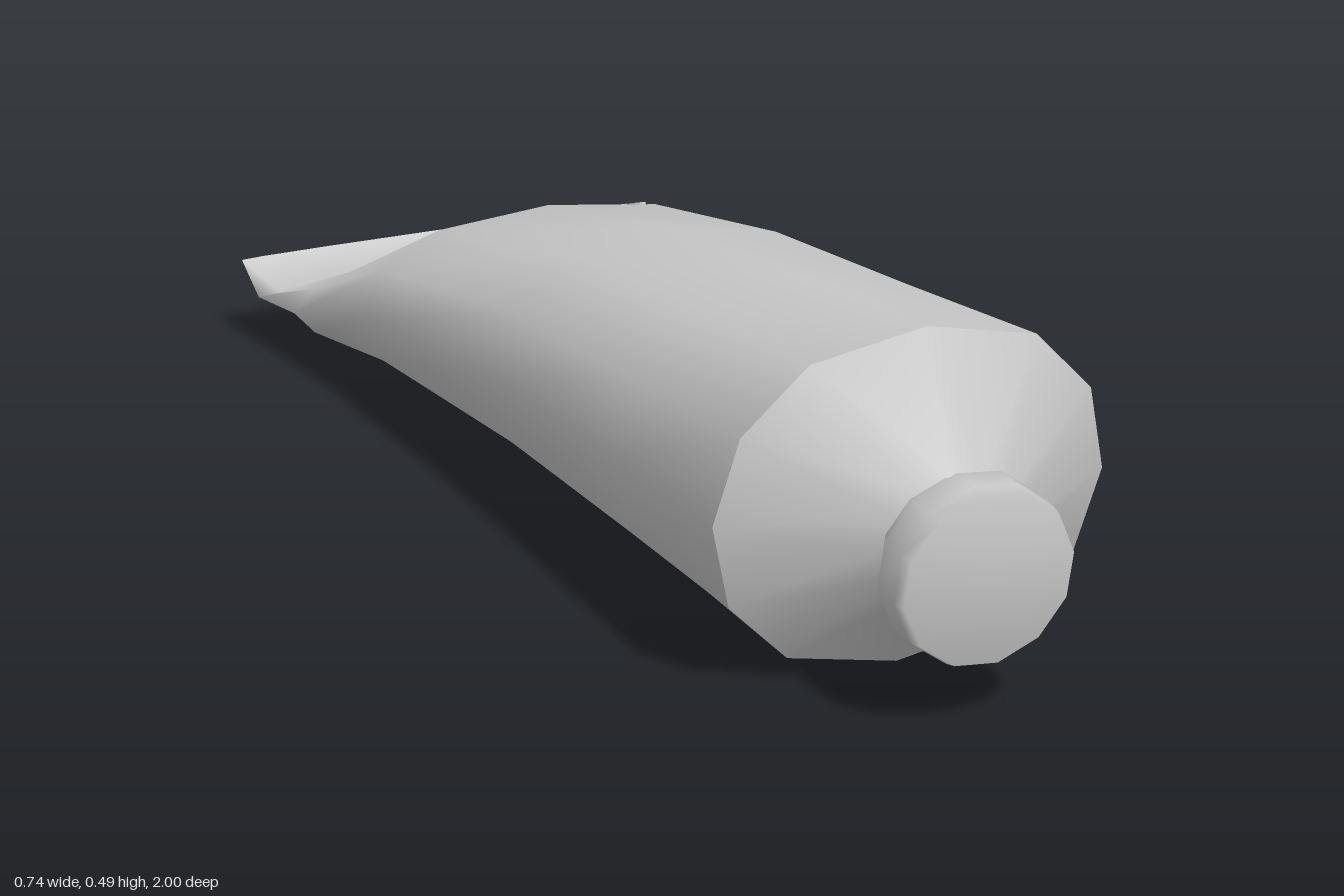
import * as THREE from 'three';

const SIDES = 12;
const material = new THREE.MeshStandardMaterial({ color: 0xcccccc, side: THREE.DoubleSide });

// Skins a row of cross-sections, listed from front to back.
// Section: [z, centre y, half width, half height, squareness, tilt, skew]
function loft(name, sections, phase = 0) {
  const pos = [], index = [];
  for (const [z, cy, rx, ry, p = 1, tilt = 0, skew = 0] of sections) {
    for (let j = 0; j < SIDES; j++) {
      const a = (j / SIDES) * Math.PI * 2 + phase;
      const s = Math.sin(a);
      const x = rx * Math.sign(s) * Math.pow(Math.abs(s), p);
      const y = ry * Math.cos(a);
      pos.push(x, cy + y + skew * x, z + tilt * y - skew * x);
    }
  }
  for (let i = 0; i < sections.length - 1; i++) {
    for (let j = 0; j < SIDES; j++) {
      const k = (j + 1) % SIDES;
      const a = i * SIDES + j, b = i * SIDES + k;
      index.push(a, b, a + SIDES, b, b + SIDES, a + SIDES);
    }
  }
  const geometry = new THREE.BufferGeometry();
  geometry.setAttribute('position', new THREE.Float32BufferAttribute(pos, 3));
  geometry.setIndex(index);
  geometry.computeVertexNormals();
  const mesh = new THREE.Mesh(geometry, material);
  mesh.name = name;
  return mesh;
}

export function createModel() {
  const group = new THREE.Group();
  group.name = 'squeezeTube';

  // Round at the shoulder, pressed flat towards the folded tail
  const shoulderRim = [0.765, 0.247, 0.285, 0.245, 0.8, 0.14];
  group.add(loft('tubeBody', [
    shoulderRim,
    [0.42, 0.227, 0.285, 0.223, 0.8],
    [-0.02, 0.204, 0.291, 0.199, 0.8],
    [-0.52, 0.156, 0.316, 0.149, 0.77],
    [-0.78, 0.092, 0.345, 0.074, 0.72],
    [-0.915, 0.088, 0.364, 0.009, 0.72, 0, 0.01],
    [-0.99, 0.136, 0.369, 0.003, 0.72, 0, 0.018],
    [-0.99, 0.136, 0.369, 0, 0.72, 0, 0.018],
  ]));

  // Cone between the body and the threaded neck
  group.add(loft('shoulder', [
    [0.9, 0.22, 0.088, 0.085, 1, 0.12],
    [0.868, 0.223, 0.09, 0.087, 1, 0.14],
    shoulderRim,
  ]));

  // Narrow ring behind the cap
  const roll = -Math.PI / 18;
  group.add(loft('capCollar', [
    [0.925, 0.213, 0.102, 0.102, 1, 0.1],
    [0.883, 0.217, 0.104, 0.103, 1, 0.1],
    [0.88, 0.217, 0.08, 0.08, 1, 0.1],
  ], roll));

  // Cap with a flat, softly shaded front
  group.add(loft('cap', [
    [0.988, 0.21, 0, 0, 1, 0.1],
    [0.987, 0.21, 0.121, 0.122, 1, 0.1],
    [0.965, 0.21, 0.125, 0.127, 1, 0.1],
    [0.918, 0.213, 0.125, 0.127, 1, 0.1],
    [0.908, 0.213, 0.108, 0.109, 1, 0.1],
    [0.908, 0.213, 0.08, 0.08, 1, 0.1],
  ], roll));

  return group;
}
